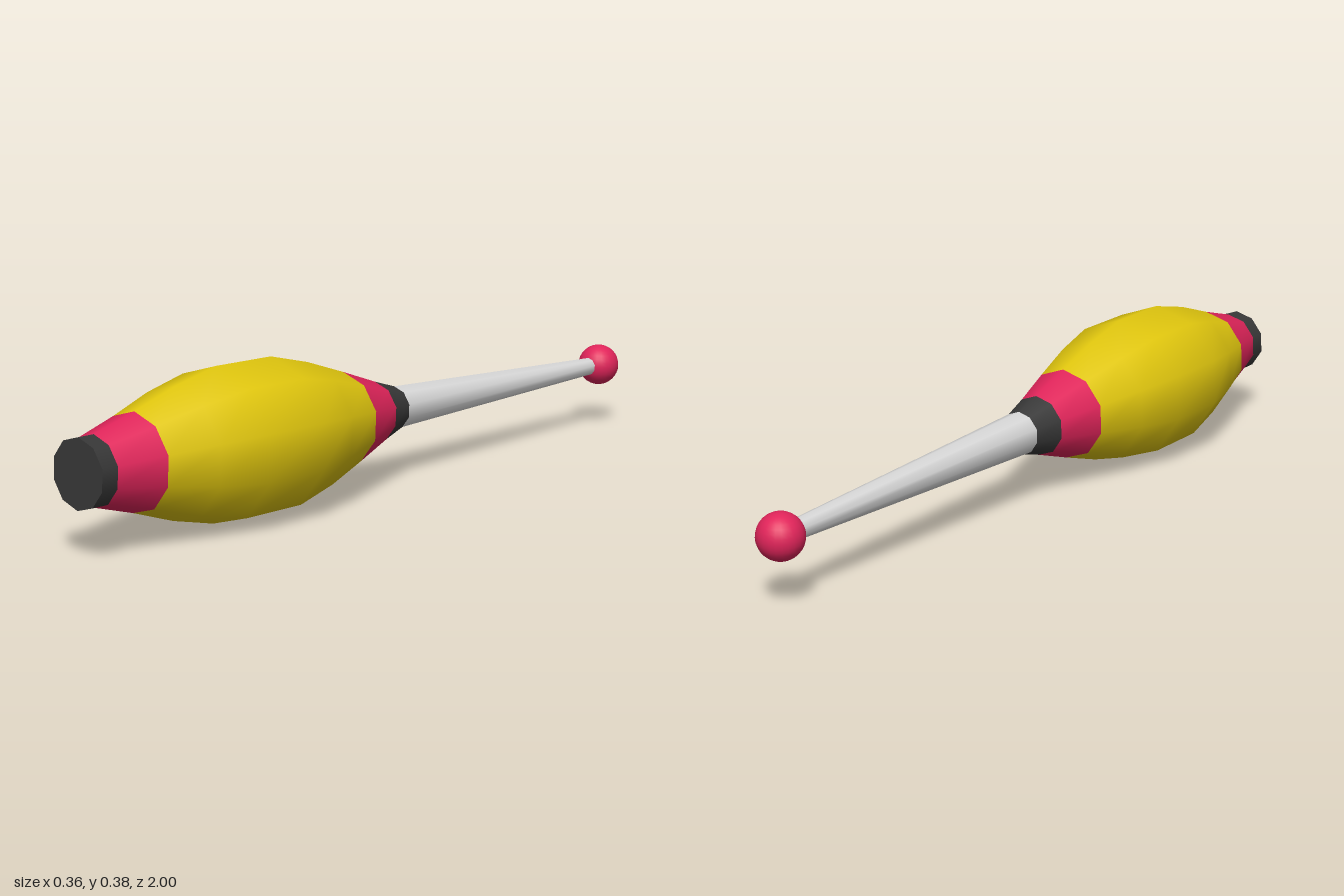
import * as THREE from 'three';

const SIDES = 10;
const TWIST = -0.035;

const mat = (name, color) => {
  const m = new THREE.MeshStandardMaterial({ color });
  m.name = name;
  return m;
};

// Turned shape along the z axis from [z, radius] pairs, back to front
function turned(profile) {
  const pts = profile.map(([z, r]) => new THREE.Vector2(r, z));
  return new THREE.LatheGeometry(pts, SIDES, TWIST, Math.PI * 2).rotateX(Math.PI / 2);
}

// Sort the faces of a turned shape into one material group per ring
function colourRings(geo, rings, materialOfRing) {
  const index = [];
  const stride = rings + 1;
  for (let j = 0; j < rings; j++) {
    geo.addGroup(j * SIDES * 6, SIDES * 6, materialOfRing[j]);
    for (let i = 0; i < SIDES; i++) {
      const a = j + i * stride, b = a + stride;
      index.push(a, b, a + 1, b + 1, a + 1, b);
    }
  }
  geo.clearGroups();
  geo.setIndex(index);
  materialOfRing.forEach((m, j) => geo.addGroup(j * SIDES * 6, SIDES * 6, m));
  return geo;
}

export function createModel() {
  const yellow = mat('yellow', 0xe0c60e);
  const red = mat('red', 0xe0245a);
  const black = mat('black', 0x383838);
  const white = mat('white', 0xd8d8d8);

  const club = new THREE.Group();
  club.name = 'jugglingClub';
  const add = (name, geo, material) => {
    const mesh = new THREE.Mesh(geo, material);
    mesh.name = name;
    club.add(mesh);
    return mesh;
  };

  // Swollen body with a dark collar and red bands at both ends
  const profile = [
    [-0.055, 0.055], [0.02, 0.077], [0.14, 0.117], [0.27, 0.158], [0.4, 0.188],
    [0.58, 0.188], [0.71, 0.158], [0.835, 0.117], [0.955, 0.083],
  ];
  const body = colourRings(turned(profile), profile.length - 1, [0, 1, 2, 2, 2, 2, 2, 1]);
  add('body', body, [black, red, yellow]);

  // End cap: rim and flat face
  add('capRim', turned([[0.95, 0.083], [1.0, 0.083]]), black);
  add('capFace', turned([[1.0, 0.083], [1.0, 0]]), black);

  // Tapered handle
  add('handle', turned([[-0.93, 0.023], [-0.055, 0.055]]), white);

  // Round knob
  add('knob', new THREE.SphereGeometry(0.056, 24, 16), red).position.z = -0.944;

  // The club rests slightly tilted
  const axis = new THREE.Vector3(0.0103, 0.0154, 1).normalize();
  club.quaternion.setFromUnitVectors(new THREE.Vector3(0, 0, 1), axis);
  club.position.set(-0.0055, 0.1855, 0);

  const model = new THREE.Group();
  model.name = 'model';
  model.add(club);
  return model;
}
